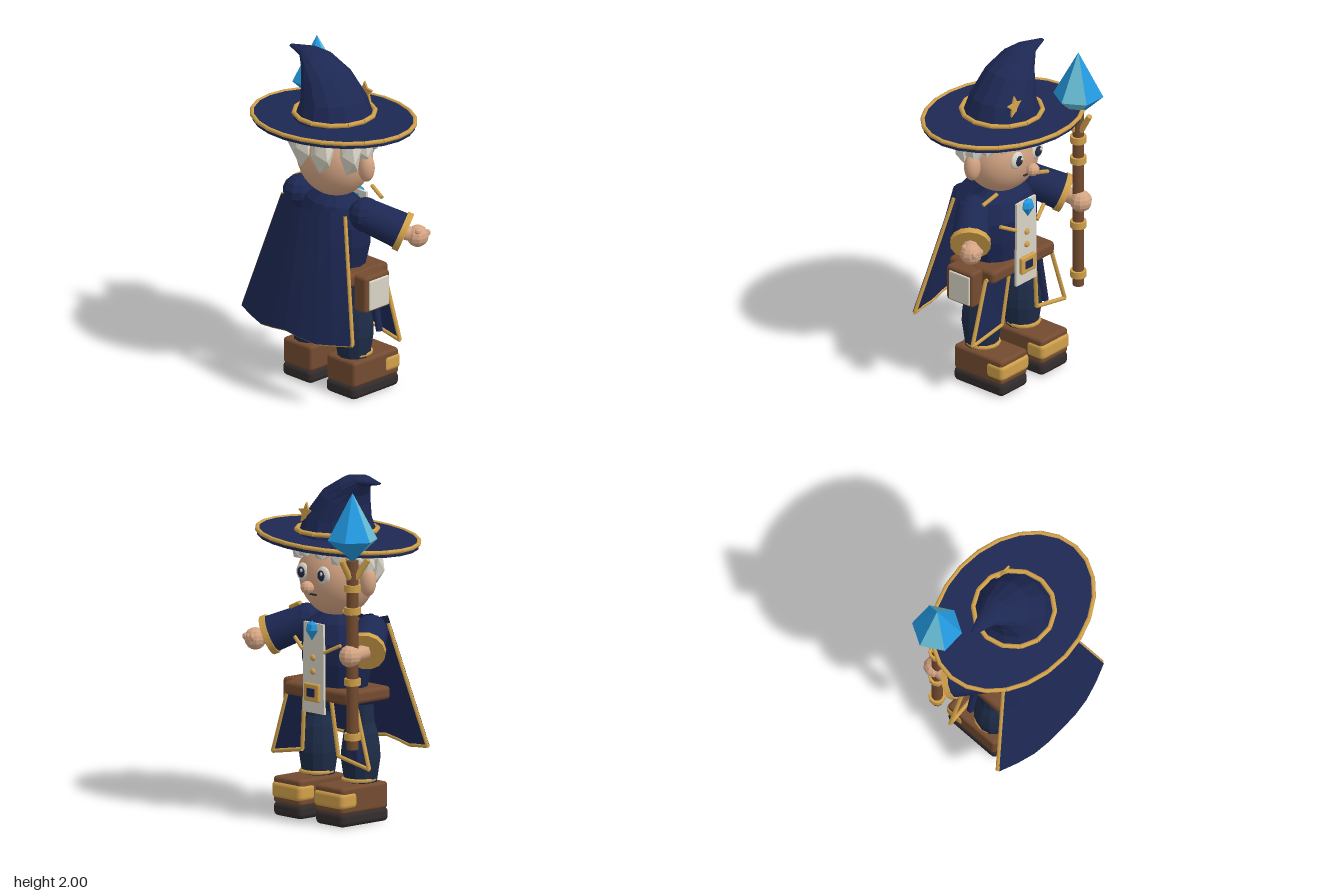
import * as THREE from 'three';
import { RoundedBoxGeometry } from 'three/addons/geometries/RoundedBoxGeometry.js';

const mat = (name, color, side = THREE.FrontSide) => {
  const m = new THREE.MeshStandardMaterial({ color, side });
  m.name = name;
  return m;
};

// flat facets from real normals
const flat = (g) => {
  const f = g.index ? g.toNonIndexed() : g;
  f.computeVertexNormals();
  return f;
};

// grid of points (rows of equal length) turned into a surface
function surface(rows, closed) {
  const n = rows[0].length, idx = [];
  const last = closed ? n : n - 1;
  for (let i = 0; i < rows.length - 1; i++)
    for (let j = 0; j < last; j++) {
      const k = (j + 1) % n, a = i * n + j, b = i * n + k, c = a + n, d = b + n;
      idx.push(a, c, b, b, c, d);
    }
  const g = new THREE.BufferGeometry();
  g.setAttribute('position', new THREE.Float32BufferAttribute(rows.flat(2), 3));
  g.setIndex(idx);
  return flat(g);
}

export function createModel() {
  const root = new THREE.Group();
  const navy = mat('navy cloth', 0x1d2853, THREE.DoubleSide);
  const gold = mat('gold trim', 0xd0a04a);
  const skin = mat('skin', 0xd5a584);
  const cream = mat('cream', 0xd8d4c6, THREE.DoubleSide);
  const brown = mat('brown leather', 0x744b30);
  const dark = mat('dark sole', 0x332c2c);
  const blue = mat('crystal blue', 0x2299e0);
  const teal = mat('crystal pale face', 0x66bcd4);
  const pants = mat('trousers', 0x1e2c48);

  const add = (name, geo, m, x = 0, y = 0, z = 0, parent = root) => {
    const mesh = new THREE.Mesh(geo, m);
    mesh.name = name;
    mesh.position.set(x, y, z);
    parent.add(mesh);
    return mesh;
  };
  const ball = (name, m, x, y, z, rx, ry = rx, rz = rx, ws = 24, hs = 16) => {
    const g = new THREE.SphereGeometry(1, ws, hs).scale(rx, ry, rz);
    return add(name, ws < 12 ? flat(g) : g, m, x, y, z);
  };
  const box = (name, m, x, y, z, w, h, d, r = 0.02) =>
    add(name, new RoundedBoxGeometry(w, h, d, 2, r), m, x, y, z);
  // cylinder from point a (radius ra) to point b (radius rb)
  const rod = (name, m, a, b, ra, rb = ra, sides = 8, parent = root) => {
    const p = new THREE.Vector3(...a), q = new THREE.Vector3(...b), d = q.clone().sub(p);
    const mesh = add(name, new THREE.CylinderGeometry(rb, ra, d.length(), sides), m, 0, 0, 0, parent);
    mesh.position.copy(p).add(q).multiplyScalar(0.5);
    mesh.quaternion.setFromUnitVectors(new THREE.Vector3(0, 1, 0), d.normalize());
    return mesh;
  };
  const path = (name, pts, r) => {
    for (let i = 0; i + 1 < pts.length; i++) rod(name, gold, pts[i], pts[i + 1], r);
  };
  const lathe = (pts, n) =>
    flat(new THREE.LatheGeometry(pts.map(p => new THREE.Vector2(...p)), n, Math.PI / 2));
  // ring of short trim pieces round an ellipse
  const trimRing = (name, rx, rz, y, n, r, parent) => {
    const at = (i) => [rx * Math.cos(i * 2 * Math.PI / n), y, rz * Math.sin(i * 2 * Math.PI / n)];
    for (let i = 0; i < n; i++) rod(name, gold, at(i), at(i + 1), r, r, 8, parent);
  };

  // hat: tilted brim, bent crown, trim and star
  const brim = new THREE.Group();
  brim.name = 'hatBrim';
  brim.position.set(-0.008, 1.615, 0);
  brim.rotation.z = 0.045;
  root.add(brim);
  add('brimDisc', flat(new THREE.CylinderGeometry(1, 1, 0.035, 24).scale(0.523, 1, 0.4)), navy, 0, 0, 0, brim);
  trimRing('brimTrim', 0.523, 0.4, 0.012, 24, 0.013, brim);
  const crown = [ // x, y, rx, rz, tilt
    [-0.005, 1.61, 0.235, 0.235, 0], [-0.01, 1.74, 0.185, 0.195, 0.1],
    [-0.07, 1.86, 0.13, 0.155, 0.3], [-0.15, 1.93, 0.076, 0.11, 0.85],
    [-0.22, 1.969, 0.036, 0.062, 1.05], [-0.35, 1.967, 0.007, 0.014, 1.5]
  ].map(([x, y, rx, rz, t]) => Array.from({ length: 14 }, (_, j) => {
    const a = j * Math.PI / 7, u = rx * Math.cos(a);
    return [x + u * Math.cos(t), y + u * Math.sin(t), rz * Math.sin(a)];
  }));
  add('hatCrown', surface(crown, true), navy);
  trimRing('crownTrim', 0.232, 0.232, 1.662, 14, 0.014, root);
  const star = new THREE.Shape();
  for (let i = 0; i < 10; i++) {
    const a = i * Math.PI / 5 + Math.PI / 2, r = i % 2 ? 0.03 : 0.064;
    star[i ? 'lineTo' : 'moveTo'](r * Math.cos(a), r * Math.sin(a));
  }
  const starMesh = add('hatStar', new THREE.ExtrudeGeometry(star, { depth: 0.012, bevelEnabled: false }),
    gold, 0.08, 1.76, -0.172);
  starMesh.rotation.x = 0.08;

  // head, ears, nose, mouth and eyes
  ball('head', skin, 0, 1.4, 0, 0.235, 0.24, 0.2, 32, 20);
  ball('nose', skin, 0, 1.35, -0.232, 0.04, 0.038, 0.038, 10, 7);
  box('mouth', dark, 0, 1.305, -0.187, 0.055, 0.01, 0.012, 0.003);
  for (const s of [-1, 1]) {
    ball('ear', skin, s * 0.255, 1.39, 0, 0.052, 0.085, 0.045);
    ball('eyeWhite', cream, s * 0.085, 1.425, -0.185, 0.05, 0.052, 0.022);
    ball('iris', navy, s * 0.083, 1.425, -0.2, 0.03, 0.032, 0.013);
    ball('pupil', dark, s * 0.083, 1.425, -0.206, 0.018, 0.02, 0.01);
    ball('eyeGlint', cream, s * 0.083 - 0.012, 1.438, -0.213, 0.01, 0.01, 0.005);
    // hair locks: angle from the back, height, half width, half length
    for (const [deg, y, w, h] of [[19, 1.48, 0.08, 0.135], [62, 1.48, 0.08, 0.135], [90, 1.5, 0.065, 0.11],
      [114, 1.53, 0.058, 0.075], [138, 1.54, 0.055, 0.065], [164, 1.56, 0.055, 0.055]]) {
      const a = deg * Math.PI / 180;
      add('hairLock', new THREE.IcosahedronGeometry(1, 0).rotateX(0.553).scale(w, h, 0.055), cream,
        s * Math.sin(a) * 0.235, y, Math.cos(a) * 0.185);
    }
  }

  // torso and belt
  const torso = lathe([[0, 0.62], [0.09, 0.62], [0.14, 0.75], [0.165, 0.9], [0.168, 1.02], [0.13, 1.13], [0.07, 1.19], [0, 1.19]], 14);
  add('torso', torso.scale(1.45, 1, 1), navy);
  box('belt', brown, 0, 0.73, 0, 0.54, 0.08, 0.34, 0.025);
  box('pouch', brown, 0.31, 0.66, 0.01, 0.1, 0.22, 0.2);
  box('pouchPanel', cream, 0.36, 0.655, 0.005, 0.018, 0.18, 0.155, 0.008);

  // front panel with gem, buttons and buckle
  const panel = new THREE.Shape([[-0.082, 1.14], [0.082, 1.14], [0.088, 0.62], [-0.088, 0.62]].map(p => new THREE.Vector2(...p)));
  add('frontPanel', new THREE.ExtrudeGeometry(panel, { depth: 0.015, bevelEnabled: false }), cream, 0, 0, -0.185);
  add('gem', lathe([[0, 1.04], [0.045, 1.1], [0.035, 1.135], [0, 1.155]], 6).scale(1, 1, 0.7), blue, 0, 0, -0.195);
  for (const y of [0.94, 0.86]) ball('button', gold, 0, y, -0.188, 0.019, 0.019, 0.013);
  box('buckle', gold, 0, 0.74, -0.193, 0.125, 0.105, 0.025, 0.01);
  box('buckleInset', navy, 0, 0.74, -0.204, 0.065, 0.05, 0.009, 0.003);

  for (const s of [-1, 1]) {
    // collar and lapel trims
    rod('collarTrim', gold, [s * 0.18, 1.225, -0.12], [s * 0.28, 1.185, -0.1], 0.012);
    rod('lapelTrim', gold, [s * 0.09, 0.98, -0.185], [s * 0.19, 1.03, -0.15], 0.011);

    // legs and boots
    const x = -0.01 + s * 0.175;
    add('leg', lathe([[0.09, 0.2], [0.1, 0.26], [0.115, 0.36], [0.113, 0.42], [0.1, 0.51], [0.08, 0.57], [0.075, 0.68]], 12), pants, x, 0, 0.01);
    box('bootSole', dark, x, 0.042, -0.058, 0.235, 0.084, 0.37, 0.03);
    box('boot', brown, x, 0.152, -0.06, 0.23, 0.155, 0.36);
    box('toeCap', gold, x, 0.152, -0.186, 0.244, 0.1, 0.13, 0.028);
    add('ankleTrim', new THREE.TorusGeometry(0.091, 0.012, 6, 14).rotateX(Math.PI / 2), gold, x, 0.245, -0.002);

    // coat tails
    const tail = [[s * 0.11, 0.72, -0.15], [s * 0.28, 0.71, -0.12], [s * 0.4, 0.34, -0.125], [s * 0.15, 0.385, -0.13]];
    path('coatTailTrim', [...tail, tail[0]], 0.012);
    if (s > 0) add('coatTail', surface([[tail[0], tail[1]], [tail[3], tail[2]]], false), navy);
    rod('coatPleat', navy, [s * 0.2, 0.72, -0.095], [s * 0.27, 0.37, -0.09], 0.022, 0.022, 6);
  }

  // cape: curved sheet widening downwards, scalloped hem
  const capeRow = (t) => Array.from({ length: 9 }, (_, j) => {
    const u = j / 4 - 1, hem = [0.43, 0.415, 0.4, 0.415, 0.43, 0.415, 0.4, 0.415, 0.43][j];
    const top = [1.13, 1.16, 1.145, 1.125, 1.14, 1.125, 1.145, 1.16, 1.13][j];
    return [u * (0.25 + 0.19 * t) - 0.01, top + (hem - top) * t, 0.26 + 0.128 * t - 0.09 * u * u];
  });
  const capeRows = [0, 0.25, 0.5, 0.75, 1].map(capeRow);
  add('cape', surface(capeRows, false), navy);
  add('capeLining', surface(capeRows.map(r => r.map(([x, y, z]) => [x, y, z - 0.02])), false), navy);
  const hem = capeRows[4];
  path('capeTrim', [capeRows[0][0], ...hem, capeRows[0][8]].map(([x, y, z]) => [x, y, z - 0.016]), 0.011);

  // sleeves with gold cuffs
  const arm = (shoulder, cuff, hand) => {
    const tip = new THREE.Vector3(...cuff);
    const dir = tip.clone().sub(new THREE.Vector3(...shoulder)).normalize();
    const back = tip.clone().addScaledVector(dir, -0.03).toArray();
    ball('shoulder', navy, ...shoulder, 0.1, 0.1, 0.1, 10, 7);
    rod('sleeve', navy, shoulder, cuff, 0.098, 0.11, 12);
    rod('cuff', gold, back, tip.clone().addScaledVector(dir, 0.006).toArray(), 0.116, 0.116, 14);
    rod('wrist', skin, cuff, hand, 0.045);
    ball('hand', skin, ...hand, 0.064, 0.064, 0.064, 10, 8);
  };
  arm([0.25, 1.1, 0], [0.43, 1.005, -0.135], [0.482, 0.985, -0.185]);
  arm([-0.27, 1.1, 0.01], [-0.385, 1.02, -0.14], [-0.385, 1.01, -0.26]);
  for (let i = 0; i < 3; i++) ball('finger', skin, 0.455 + i * 0.03, 1.0, -0.235, 0.015, 0.02, 0.014, 8, 6);
  ball('thumb', skin, 0.51, 1.025, -0.16, 0.02, 0.02, 0.02, 8, 6);

  // staff with rings, prongs and crystal
  const sx = -0.385, sz = -0.24;
  rod('staff', brown, [sx, 0.47, sz], [sx, 1.56, sz], 0.033, 0.033, 10);
  for (const y of [0.545, 0.86, 1.27, 1.4]) rod('staffRing', gold, [sx, y - 0.02, sz], [sx, y + 0.02, sz], 0.048, 0.048, 10);
  for (let i = 0; i < 3; i++) {
    const a = i * 2 * Math.PI / 3, c = Math.sin(a), s = -Math.cos(a);
    rod('prong', gold, [sx + c * 0.02, 1.46, sz + s * 0.02], [sx + c * 0.095, 1.57, sz + s * 0.085], 0.02, 0.017);
  }
  const crystal = lathe([[0, 1.55], [0.07, 1.61], [0.145, 1.68], [0, 1.95]], 6);
  for (let i = 0; i < 6; i++) crystal.addGroup(i * 18, 18, i % 3 ? 0 : 1);
  add('crystal', crystal, [blue, teal], sx, 0, sz);

  return root;
}
